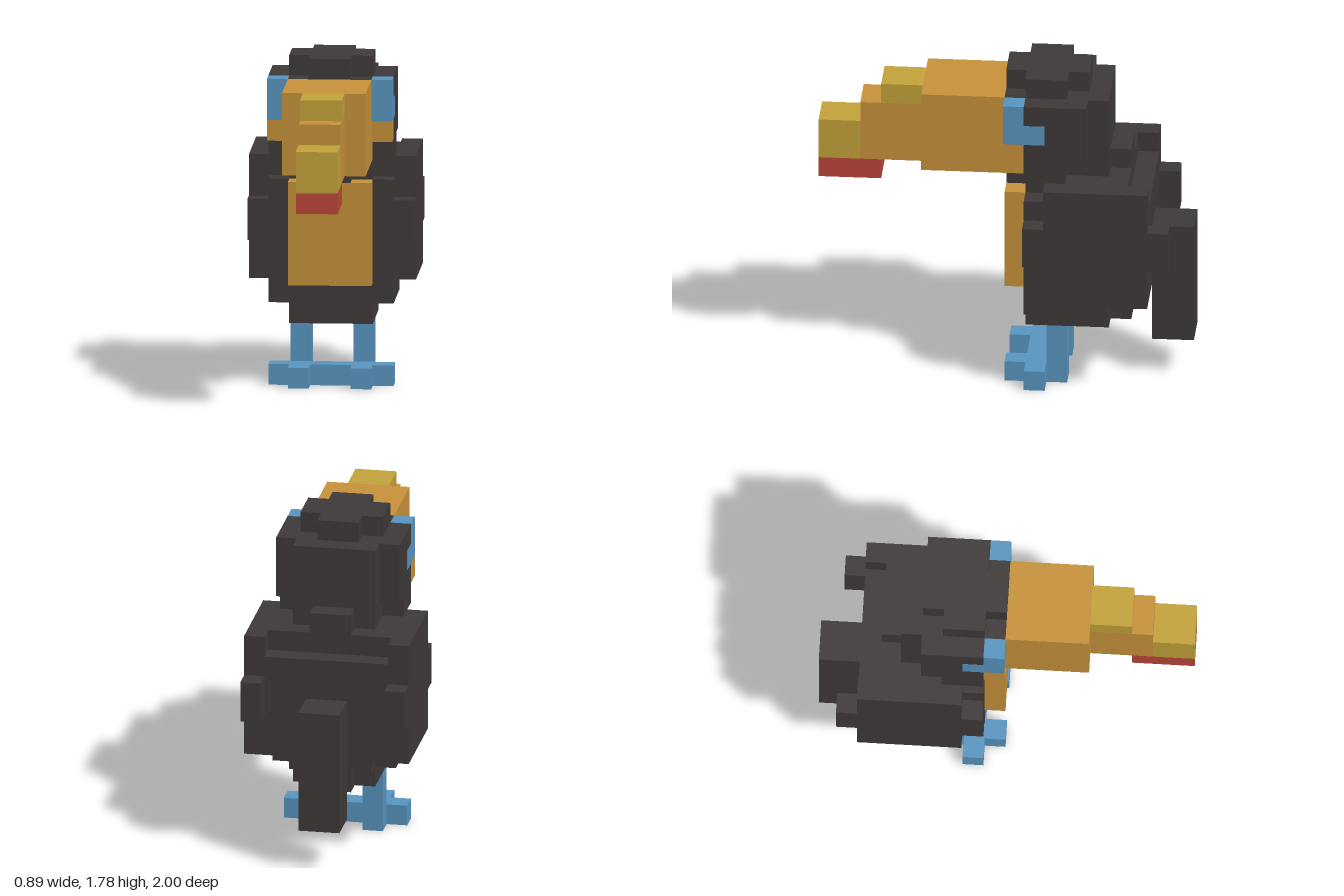
import * as THREE from 'three';

const U = 1 / 9; // one block

function makeMaterial(name, color) {
  const m = new THREE.MeshStandardMaterial({ color });
  m.name = name;
  return m;
}

export function createModel() {
  const black = makeMaterial('charcoal', 0x403a3a);
  const orange = makeMaterial('orange', 0xc9933a);
  const yellow = makeMaterial('yellow', 0xc6a43a);
  const red = makeMaterial('red', 0xbf463b);
  const blue = makeMaterial('blue', 0x5997c2);

  const model = new THREE.Group();
  model.name = 'blockBird';

  // Box between block coordinates: x, y and z ranges
  function block(name, mat, [x0, x1], [y0, y1], [z0, z1]) {
    const geo = new THREE.BoxGeometry((x1 - x0) * U, (y1 - y0) * U, (z1 - z0) * U);
    geo.translate((x0 + x1) / 2 * U, (y0 + y1) / 2 * U, (z0 + z1) / 2 * U);
    const mesh = new THREE.Mesh(geo, mat);
    mesh.name = name;
    model.add(mesh);
  }
  // Box centred on x
  const mid = (name, mat, w, y, z) => block(name, mat, [-w, w], y, z);
  // Mirrored pair of boxes
  function pair(name, mat, [x0, x1], y, z) {
    block(name + 'Left', mat, [x0, x1], y, z);
    block(name + 'Right', mat, [-x1, -x0], y, z);
  }

  // Beak
  mid('beakBase', orange, 2, [11, 15], [0, 4]);
  mid('beakMiddle', orange, 1, [11, 14], [4, 7]);
  mid('beakRidge', yellow, 1, [14, 15], [4, 6]);
  mid('beakTip', yellow, 1, [11, 13], [7, 9]);
  mid('lowerBeakTip', red, 1, [10, 11], [6, 9]);

  // Head
  mid('crestLong', black, 1, [15, 16], [-4, 0]);
  mid('crestWide', black, 2, [15, 16], [-3, -1]);
  mid('headCore', black, 2, [12, 15], [-5, 0]);
  mid('headSides', black, 3, [12, 15], [-4, -1]);
  mid('neck', black, 2, [11, 12], [-5, -1]);
  mid('neckSides', black, 3, [11, 12], [-3, -1]);
  mid('nape', black, 1, [11, 12], [-6, -5]);
  mid('throat', orange, 2, [11, 12], [-1, 0]);
  pair('cheek', orange, [2, 3], [12, 13], [-1, 0]);
  pair('eyeFront', blue, [2, 3], [13, 15], [-1, 0]);
  pair('eyeBack', blue, [2, 3.01], [13, 14], [-2, -1]);

  // Chest
  mid('chest', orange, 2, [5, 10], [-1, 0]);
  mid('collar', black, 1, [10, 11], [-1, 0]);

  // Body
  mid('bodyFront', black, 2, [5, 11], [-2, -1]);
  pair('shoulder', black, [2, 3], [5, 10], [-2, -1]);
  mid('bodyCore', black, 3, [5, 11], [-6, -2]);
  mid('backLedge', black, 3, [5, 10], [-7, -6]);
  mid('upperBelly', black, 3, [4, 5], [-5, -1]);
  mid('upperBellyBack', black, 2, [4, 5], [-6, -5]);
  mid('lowerBelly', black, 2, [3, 4], [-5, -1]);
  mid('lowerBellyBack', black, 1, [3, 4], [-6, -5]);

  // Wings and tail
  pair('wing', black, [3, 4], [5, 11], [-7, -2]);
  pair('wingFront', black, [3, 4], [7, 9], [-2, -1]);
  pair('wingTip', black, [3, 4], [7, 9], [-8, -7]);
  mid('tail', black, 1, [2, 8], [-9, -7]);

  // Legs and feet
  pair('leg', blue, [1, 2], [0, 3], [-3, -2]);
  mid('footBar', blue, 3, [0, 1], [-2, -1]);
  pair('toe', blue, [1, 2], [0, 1], [-1, 0]);

  return model;
}
